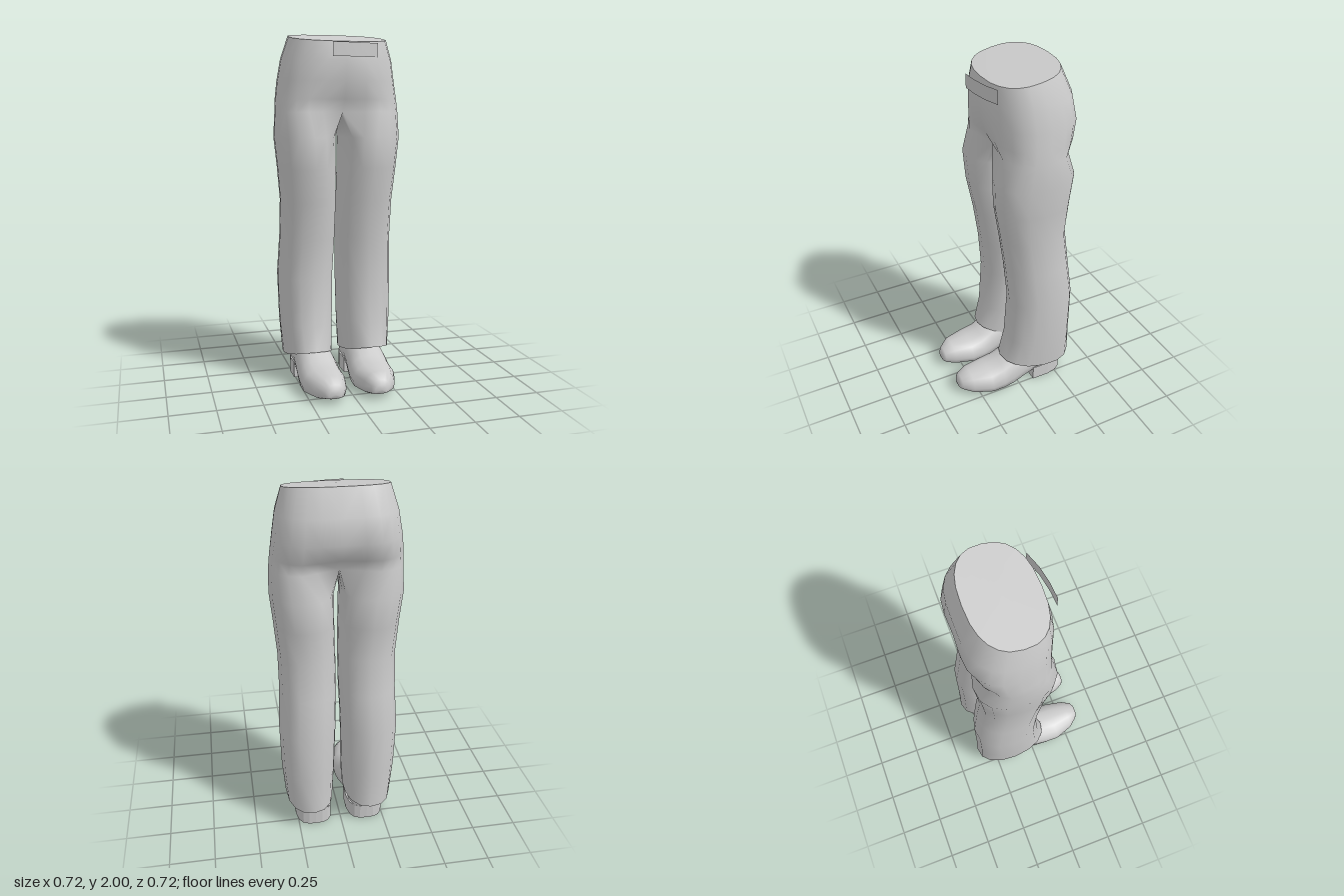
import * as THREE from 'three';
import { mergeGeometries, mergeVertices } from 'three/addons/utils/BufferGeometryUtils.js';

const K = 12; // steps round the outside of each half, front centre to back centre
const L = 6;  // steps round the inside of each leg
const spow = (v, p) => Math.sign(v) * Math.abs(v) ** p;

// Skin a list of equal-length rows of [x, y, z]; side = -1 mirrors in x.
function skin(rows, closed, side = 1) {
  const n = rows[0].length, index = [];
  for (let i = 0; i < rows.length - 1; i++) {
    for (let j = 0; j < (closed ? n : n - 1); j++) {
      const k = (j + 1) % n;
      const a = i * n + j, b = a + n, c = (i + 1) * n + k, d = i * n + k;
      index.push(...(side > 0 ? [a, b, c, a, c, d] : [a, c, b, a, d, c]));
    }
  }
  const g = new THREE.BufferGeometry();
  g.setAttribute('position', new THREE.Float32BufferAttribute(
    rows.flat().flatMap(([x, y, z]) => [x * side, y, z]), 3));
  g.setIndex(index);
  return g;
}

function weld(parts) {
  const g = mergeVertices(mergeGeometries(parts), 1e-4);
  g.computeVertexNormals();
  return g;
}

// Half of a hip section, with the centre line drawn in at front and back.
function hipRow([y, hx, zf, zb, dentF, dentB, tilt]) {
  const zc = (zf + zb) / 2, rz = (zf - zb) / 2, row = [];
  for (let j = 0; j <= K; j++) {
    const a = Math.PI / 2 - Math.PI * j / K, s = Math.sin(a);
    const dent = Math.abs(s) ** 16 * (s > 0 ? dentF : -dentB);
    const z = zc + rz * spow(s, 0.8) - dent;
    row.push([j % K ? hx * spow(Math.cos(a), 0.8) : 0, y - tilt * (z - zc), z]);
  }
  return row;
}

// Whole leg section, beginning at its front inner corner.
function legRow([y, xin, xout, zf, zb], hem) {
  const cx = (xin + xout) / 2, rx = (xout - xin) / 2;
  const zc = (zf + zb) / 2, rz = (zf - zb) / 2, d = 0.85, row = [];
  for (let j = 0; j < K + L; j++) {
    const a = j <= K
      ? Math.PI / 2 + d - (Math.PI + 2 * d) * j / K
      : -Math.PI / 2 - d - (Math.PI - 2 * d) * (j - K) / L;
    const z = zc + rz * spow(Math.sin(a), 0.88);
    const yy = hem ? 0.13 + 0.08 * ((z - zb) / (zf - zb)) ** 2 : y;
    row.push([cx + rx * spow(Math.cos(a), 0.88), yy, z]);
  }
  return row;
}

function shoeRow([z, cx, w, bottom, top]) {
  const mid = bottom + (top - bottom) * 0.35, row = [];
  for (let j = 0; j < 16; j++) {
    const a = j / 16 * Math.PI * 2, s = Math.sin(a);
    // rounded upper over a nearly flat sole
    const y = s >= 0 ? mid + (top - mid) * s : mid - (mid - bottom) * Math.abs(s) ** 0.45;
    row.push([cx + w * spow(Math.cos(a), 0.85), y, z]);
  }
  return row;
}

export function createModel() {
  const group = new THREE.Group();
  const material = new THREE.MeshStandardMaterial({ color: 0xcccccc, side: THREE.DoubleSide });
  const add = (name, geometry) => {
    const mesh = new THREE.Mesh(geometry, material);
    mesh.name = name;
    group.add(mesh);
  };

  // Trousers: y, half width, front z, back z, front dent, back dent, tilt
  const hips = [
    [1.969, 0.275, 0.11, -0.265, 0, 0, 0.175],
    [1.85, 0.313, 0.127, -0.33, 0, 0.012, 0.04],
    [1.73, 0.333, 0.125, -0.355, 0.005, 0.025, 0],
    [1.63, 0.347, 0.12, -0.33, 0.03, 0.06, 0],
    [1.56, 0.353, 0.12, -0.303, 0.07, 0.1, 0],
  ].map(hipRow);

  // crotch: the last hip row closed by a line under the body
  const last = hips[hips.length - 1], crotch = [...last];
  for (let j = 1; j < L; j++) {
    const t = j / L;
    crotch.push([0, 1.56 - 0.02 * Math.sin(Math.PI * t),
      THREE.MathUtils.lerp(last[K][2], last[0][2], t)]);
  }

  // y, inner x, outer x, front z, back z
  const legs = [
    [1.42, 0.018, 0.358, 0.125, -0.315],
    [1.25, 0.015, 0.341, 0.115, -0.302],
    [1.06, 0.01, 0.325, 0.08, -0.29],
    [0.85, 0.01, 0.325, 0.05, -0.32],
    [0.62, 0.018, 0.336, 0.03, -0.35],
    [0.35, 0.025, 0.328, 0.05, -0.352],
    [0.15, 0.035, 0.31, 0.09, -0.36],
  ].map((r, i, all) => legRow(r, i === all.length - 1));

  add('trousers', weld([1, -1].flatMap(side => [
    skin(hips, false, side), skin([crotch, ...legs], true, side)])));

  // Sloping waist surface
  const centre = hips[0].map(() => [0, 1.972, -0.08]);
  add('waistTop', weld([1, -1].map(side => skin([centre, hips[0]], false, side))));

  // Curved patch below the front of the waist
  const patch = [[-0.085, 0.155], [0, 0.15], [0.09, 0.135], [0.18, 0.105]];
  add('beltPatch', weld([skin([1.93, 1.855].map(y => patch.map(([x, z]) => [x, y, z])), false)]));

  // Shoes: z, centre x, half width, bottom, top
  const shoe = [
    [0.362, 0.13, 0, 0.065, 0.065],
    [0.358, 0.13, 0.035, 0.04, 0.09],
    [0.345, 0.13, 0.055, 0.035, 0.115],
    [0.29, 0.14, 0.092, 0.02, 0.145],
    [0.18, 0.146, 0.124, 0.008, 0.15],
    [0.1, 0.148, 0.122, 0.005, 0.17],
    [0.04, 0.15, 0.118, 0.012, 0.21],
    [-0.04, 0.152, 0.11, 0.04, 0.24],
    [-0.11, 0.153, 0.105, 0.06, 0.26],
    [-0.22, 0.153, 0.1, 0.055, 0.25],
    [-0.29, 0.153, 0.075, 0.05, 0.22],
    [-0.312, 0.153, 0, 0.12, 0.12],
  ].map(shoeRow);

  // Heel block, flat at the front and rounded at the back
  const outline = new THREE.Shape();
  outline.moveTo(-0.105, 0.095);
  outline.lineTo(0.105, 0.095);
  outline.bezierCurveTo(0.12, 0.3, 0.07, 0.305, 0, 0.305);
  outline.bezierCurveTo(-0.07, 0.305, -0.12, 0.3, -0.105, 0.095);
  const heel = new THREE.ExtrudeGeometry(outline, { depth: 0.09, bevelEnabled: false, curveSegments: 5 });
  heel.rotateX(-Math.PI / 2); // outline depth now runs to -z

  for (const side of [1, -1]) {
    const name = side > 0 ? 'left' : 'right';
    add(name + 'Shoe', weld([skin(shoe, true, side)]));
    add(name + 'Heel', heel.clone().translate(side * 0.153, 0.004, 0));
  }
  return group;
}
